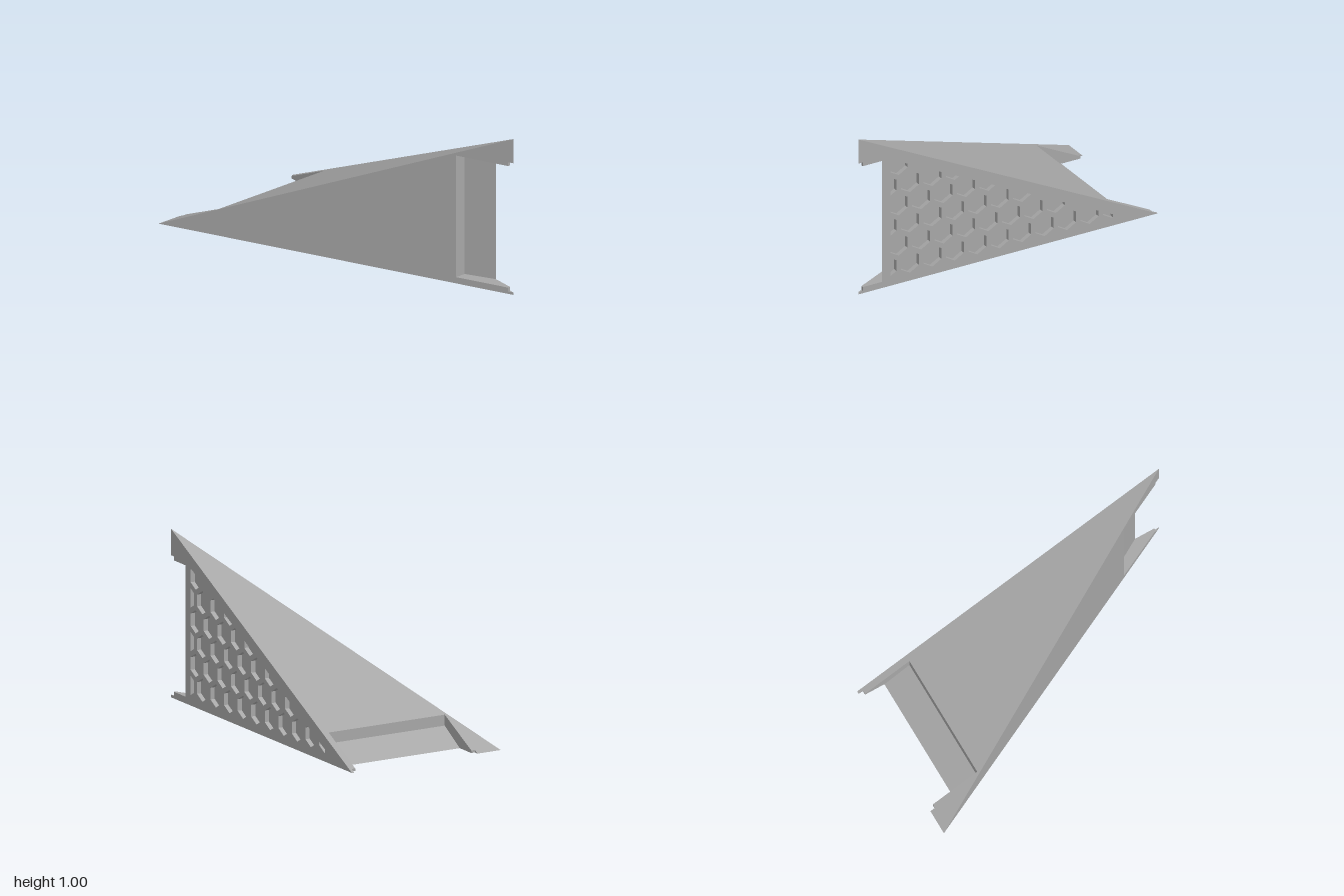
import * as THREE from 'three';

const BACK = -0.5, DEPTH = 0.028;
const PITCH = 0.15, ROW = PITCH * Math.sqrt(3) / 2, RIB = 0.03;

const grey = new THREE.MeshStandardMaterial({ color: 0xa6a6a6, side: THREE.DoubleSide });
grey.name = 'grey';

function meshOf(name, geometry) {
  const flat = geometry.index ? geometry.toNonIndexed() : geometry;
  flat.computeVertexNormals();
  const mesh = new THREE.Mesh(flat, grey);
  mesh.name = name;
  return mesh;
}

// Flat sheet drawn in x and y, then laid on the surface z = depthAt(x)
function sheet(shapes, depthAt, facesBack) {
  const g = new THREE.ShapeGeometry(shapes);
  const p = g.attributes.position;
  for (let i = 0; i < p.count; i++) p.setZ(i, depthAt(p.getX(i)));
  if (facesBack) g.setIndex(Array.from(g.index.array).reverse());
  return g;
}

// Quads and fans gathered into one geometry
function fans(polygons) {
  const out = [];
  for (const c of polygons) {
    for (let i = 1; i < c.length - 1; i++) out.push(...c[0], ...c[i], ...c[i + 1]);
  }
  return new THREE.BufferGeometry().setAttribute('position', new THREE.Float32BufferAttribute(out, 3));
}

// Triangle with a stepped cut-out in its upright edge
function notchedTriangle(inner) {
  return [[-1, 0], [1, 0], [1, 0.016], [0.97, 0.016], [0.97, 0.04], [inner, 0.04],
    [inner, 0.82], [0.97, 0.82], [0.97, 0.844], [1, 0.844], [1, 1]];
}

const toVectors = (pts) => pts.map(([x, y]) => new THREE.Vector2(x, y));

// Keep the part of a convex polygon where a*x + b*y <= c
function clip(poly, [a, b, c]) {
  const out = [];
  poly.forEach((p, i) => {
    const q = poly[(i + 1) % poly.length];
    const dp = a * p[0] + b * p[1] - c, dq = a * q[0] + b * q[1] - c;
    if (dp <= 0) out.push(p);
    if (dp * dq < 0) {
      const t = dp / (dp - dq);
      out.push([p[0] + (q[0] - p[0]) * t, p[1] + (q[1] - p[1]) * t]);
    }
  });
  return out;
}

// Honeycomb cells trimmed to an inset triangle
function honeycomb(margin) {
  const limits = [[1, 0, 0.785], [-1, 0, 0.7], [0, -1, -margin], [-0.5, 1, 0.423]];
  const radius = (PITCH - RIB) / Math.sqrt(3);
  const cells = [];
  for (let row = 0; row < 8; row++) {
    for (let col = -11; col < 3; col++) {
      const cx = 0.58 + PITCH * (col + (row % 2) / 2), cy = -0.01 + ROW * row;
      let cell = [];
      for (let k = 0; k < 6; k++) {
        const a = Math.PI / 6 + k * Math.PI / 3;
        cell.push([cx + radius * Math.cos(a), cy + radius * Math.sin(a)]);
      }
      for (const limit of limits) cell = clip(cell, limit);
      if (cell.length > 2 && THREE.ShapeUtils.area(toVectors(cell)) > 0.0008) cells.push(cell);
    }
  }
  return cells;
}

// One pocketed panel, the plain face behind it and the notch joining them
function createHalf(name, margin) {
  const half = new THREE.Group();
  half.name = name;
  const cells = honeycomb(margin);

  const panel = new THREE.Shape(toVectors(notchedTriangle(0.842)));
  panel.holes = cells.map((c) => new THREE.Path(toVectors(c)));
  half.add(meshOf('pocketedPanel', sheet(panel, () => BACK, true)));

  const floors = cells.map((c) => new THREE.Shape(toVectors(c)));
  half.add(meshOf('pocketFloors', sheet(floors, () => BACK + DEPTH, true)));

  const walls = [];
  for (const cell of cells) {
    cell.forEach((p, i) => {
      const q = cell[(i + 1) % cell.length];
      walls.push([[...p, BACK], [...p, BACK + DEPTH], [...q, BACK + DEPTH], [...q, BACK]]);
    });
  }
  half.add(meshOf('pocketWalls', fans(walls)));

  const face = new THREE.Shape(toVectors(notchedTriangle(0.676)));
  half.add(meshOf('slopingFace', sheet(face, (x) => -x / 2, false)));

  // Notch: upright walls, end shelves and small stepped lips
  const upright = ([x0, z0], [x1, z1], y0, y1) =>
    [[x0, y0, z0], [x1, y0, z1], [x1, y1, z1], [x0, y1, z0]];
  const shelf = (pts, y, up) => {
    const poly = pts.map(([x, z]) => [x, y, z]);
    return up ? poly.reverse() : poly;
  };
  const rim = [0.676, -0.338], step = [0.676, -0.403], foot = [0.842, BACK];
  const lipIn = [0.97, BACK], lipOut = [0.97, -0.485], corner = [1, BACK];
  const section = [rim, step, foot, lipIn, lipOut].reverse();
  const lip = [lipOut, lipIn, corner].reverse();
  half.add(meshOf('notch', fans([
    upright(rim, step, 0.04, 0.82),
    upright(step, foot, 0.04, 0.82),
    shelf(section, 0.04, true), shelf(section, 0.82, false),
    upright(lipOut, lipIn, 0.016, 0.04), upright(lipOut, lipIn, 0.82, 0.844),
    shelf(lip, 0.016, true), shelf(lip, 0.844, false),
  ])));
  return half;
}

export function createModel() {
  const model = new THREE.Group();
  model.name = 'notchedWedge';
  model.add(createHalf('backHalf', 0.042));

  // Half turn that swaps the back with the base
  const base = createHalf('baseHalf', 0.11);
  base.applyMatrix4(new THREE.Matrix4().set(
    -1, 0, 0, 0,
    0, 0, 1, 0.5,
    0, 1, 0, -0.5,
    0, 0, 0, 1,
  ));
  model.add(base);
  return model;
}
